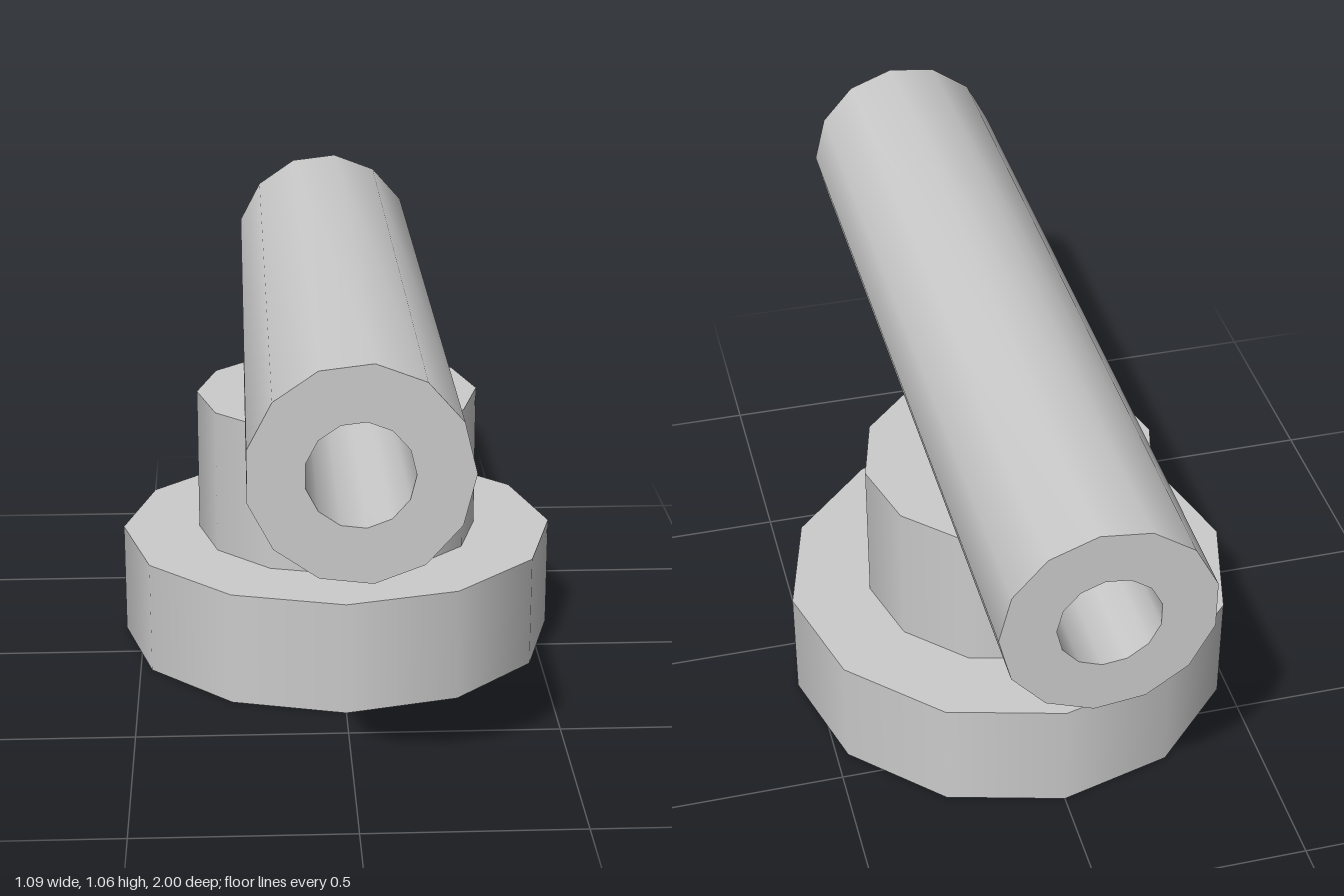
import * as THREE from 'three';
import { toCreasedNormals } from 'three/addons/utils/BufferGeometryUtils.js';

const material = new THREE.MeshStandardMaterial({ color: 0xcccccc });
const STAND_Z = -0.155;

// Upright twelve-sided disc standing between two heights
function disc(name, radius, bottom, top) {
  const geometry = new THREE.CylinderGeometry(radius, radius, top - bottom, 12);
  const mesh = new THREE.Mesh(geometry, material);
  mesh.name = name;
  mesh.position.set(0, (bottom + top) / 2, STAND_Z);
  return mesh;
}

// Hollow thirteen-sided pipe lying along z, with flat ring ends
function pipe(name, outer, inner, length, height) {
  const h = length / 2;
  const profile = [[inner, -h], [outer, -h], [outer, h], [inner, h], [inner, -h]]
    .map(([r, y]) => new THREE.Vector2(r, y));
  const lathe = new THREE.LatheGeometry(profile, 13, Math.PI / 2);
  lathe.rotateX(Math.PI / 2);
  const mesh = new THREE.Mesh(toCreasedNormals(lathe, 0.7), material);
  mesh.name = name;
  mesh.position.y = height;
  return mesh;
}

export function createModel() {
  const model = new THREE.Group();
  model.name = 'pipeOnStand';
  model.add(
    disc('base', 0.545, 0, 0.28),
    disc('neck', 0.352, 0.28, 0.64),
    pipe('barrel', 0.241, 0.116, 2, 0.82),
  );
  return model;
}
